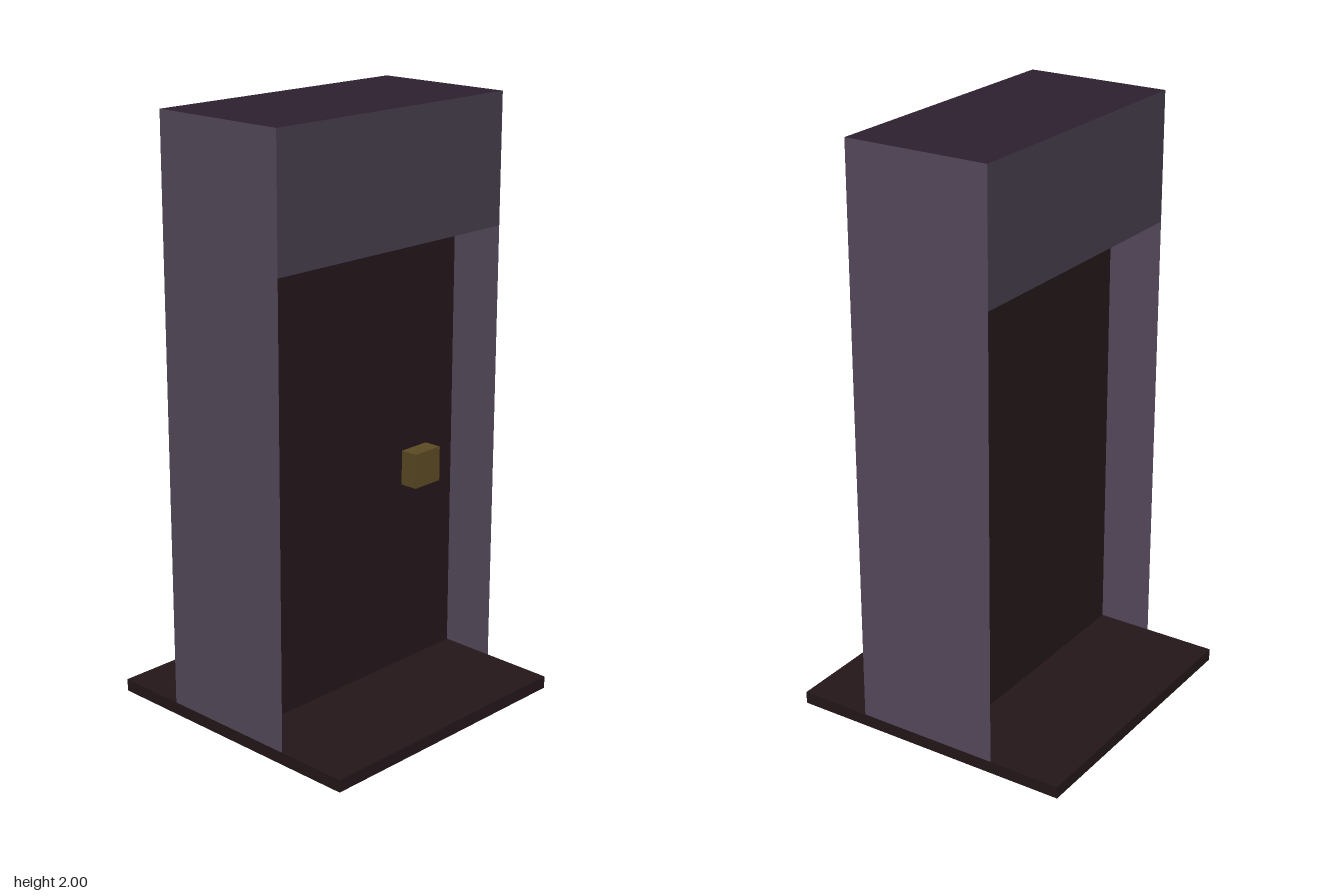
import * as THREE from 'three';

const mat = (color, side = THREE.FrontSide) => {
  const m = new THREE.MeshStandardMaterial({ color });
  m.side = side;
  return m;
};

export function createModel() {
  const group = new THREE.Group();
  const wood = mat(0x24171a);
  const frame = mat(0x443c49);
  const roof = mat(0x2d2131);
  const cheek = mat(0x574b5d, THREE.DoubleSide);
  const brass = mat(0x5c4b24);

  const BASE = 0.042, LINTEL = 1.565, TOP = 2;

  // Box given by its extents on each axis
  function box(name, [x0, x1], [y0, y1], [z0, z1], material) {
    const mesh = new THREE.Mesh(new THREE.BoxGeometry(x1 - x0, y1 - y0, z1 - z0), material);
    mesh.position.set((x0 + x1) / 2, (y0 + y1) / 2, (z0 + z1) / 2);
    mesh.name = name;
    group.add(mesh);
  }

  // Threshold slab, door panel and square knob on the front only
  box('threshold', [-0.5, 0.5], [0, BASE], [-0.5, 0.5], wood);
  box('doorPanel', [-0.499, 0.499], [BASE, LINTEL], [-0.0625, 0.0625], wood);
  box('doorKnob', [0.25, 0.37], [0.69, 0.81], [0.0625, 0.125], brass);

  // Lintel with a darker top face
  box('lintel', [-0.499, 0.499], [LINTEL, TOP], [-0.25, 0.25],
    [frame, frame, roof, frame, frame, frame]);

  // Paper-thin side walls, facing outward
  for (const s of [1, -1]) {
    const wall = new THREE.Mesh(new THREE.PlaneGeometry(0.5, TOP - BASE), cheek);
    wall.rotation.y = s * Math.PI / 2;
    wall.position.set(s * 0.5, (TOP + BASE) / 2, 0);
    wall.name = s > 0 ? 'leftWall' : 'rightWall';
    group.add(wall);
  }

  return group;
}
